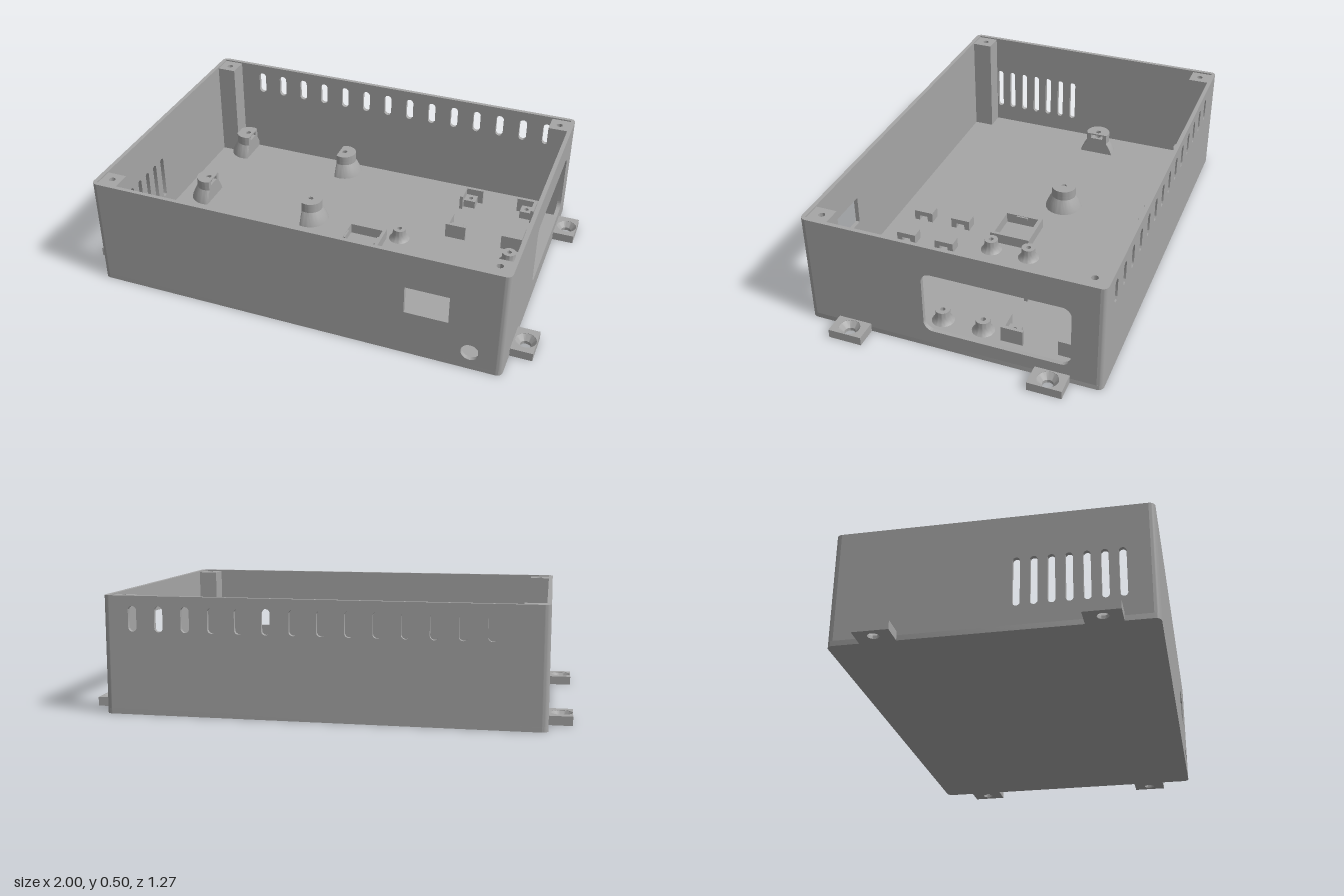
import * as THREE from 'three';
import { toCreasedNormals } from 'three/addons/utils/BufferGeometryUtils.js';

const W = 0.905, D = 0.635, H = 0.495; // half width, half depth, height
const T = 0.018, R = 0.025, FLOOR = 0.022; // wall, corner radius, floor

export function createModel() {
  const model = new THREE.Group();
  const grey = new THREE.MeshStandardMaterial({ color: 0xa6a6a6 });
  grey.name = 'grey plastic';

  const add = (name, geometry, x = 0, y = 0, z = 0, parent = model) => {
    const mesh = new THREE.Mesh(geometry, grey);
    mesh.name = name;
    mesh.position.set(x, y, z);
    parent.add(mesh);
    return mesh;
  };

  // Rounded rectangle outline, as a shape or as a hole
  const rounded = (path, x0, y0, x1, y1, r) => {
    path.moveTo(x0 + r, y0);
    path.lineTo(x1 - r, y0);
    path.absarc(x1 - r, y0 + r, r, -Math.PI / 2, 0);
    path.lineTo(x1, y1 - r);
    path.absarc(x1 - r, y1 - r, r, 0, Math.PI / 2);
    path.lineTo(x0 + r, y1);
    path.absarc(x0 + r, y1 - r, r, Math.PI / 2, Math.PI);
    path.lineTo(x0, y0 + r);
    path.absarc(x0 + r, y0 + r, r, Math.PI, Math.PI * 1.5);
    return path;
  };
  const polygon = (pts) => new THREE.Shape(pts.map(([x, y]) => new THREE.Vector2(x, y)));
  const rect = (x0, y0, x1, y1) => polygon([[x0, y0], [x1, y0], [x1, y1], [x0, y1]]);
  const circle = (x, y, r) => new THREE.Path().absarc(x, y, r, 0, Math.PI * 2);
  const extrude = (shape, depth) => toCreasedNormals(
    new THREE.ExtrudeGeometry(shape, { depth, bevelEnabled: false, curveSegments: 14 }), 0.6);
  // Horizontal slab from a plan drawn in (x, z)
  const slab = (shape, y0, y1) => extrude(shape, y1 - y0).rotateX(Math.PI / 2).translate(0, y1, 0);
  const lathe = (pts, seg = 36) => toCreasedNormals(
    new THREE.LatheGeometry(pts.map(([x, y]) => new THREE.Vector2(x, y)), seg), 0.6);

  // Floor
  add('floor', slab(rounded(new THREE.Shape(), -W, -D, W, D, R), 0, FLOOR));

  // Front wall with a socket window and a cable hole
  const front = rect(-W + R, FLOOR, W - R, H);
  front.holes.push(rect(0.49, 0.21, 0.675, 0.335), circle(0.77, 0.085, 0.038));
  add('frontWall', extrude(front, T), 0, 0, D - T);

  // Back wall with a row of vents
  const back = rect(-W + R, FLOOR, W - R, H);
  for (let i = 0; i < 14; i++) {
    const x = 0.78 - i * 0.1128;
    back.holes.push(rounded(new THREE.Path(), x - 0.018, 0.347, x + 0.018, 0.453, 0.0179));
  }
  add('backWall', extrude(back, T), 0, 0, -D);

  // Side walls, drawn with u = -z
  const windowWall = rect(-D + R, FLOOR, D - R, H);
  windowWall.holes.push(rounded(new THREE.Path(), -0.115, 0.083, 0.503, 0.366, 0.04));
  add('windowWall', extrude(windowWall, T).rotateY(Math.PI / 2), W - T);

  const ventWall = rect(-D + R, FLOOR, D - R, H);
  for (let i = 0; i < 7; i++) {
    const u = -0.1 - i * 0.0675;
    ventWall.holes.push(rounded(new THREE.Path(), u - 0.0145, 0.103, u + 0.0145, 0.31, 0.0144));
  }
  add('ventWall', extrude(ventWall, T).rotateY(Math.PI / 2), -W);

  // Rounded wall corners, screw posts and mounting tabs
  for (const sx of [-1, 1]) for (const sz of [-1, 1]) {
    const pts = [];
    for (let i = 0; i <= 8; i++) {
      const a = (i / 8) * Math.PI / 2;
      pts.push([sx * (W - R + R * Math.cos(a)), sz * (D - R + R * Math.sin(a))]);
    }
    pts.push([sx * (W - R), sz * (D - T)], [sx * (W - T), sz * (D - T)], [sx * (W - T), sz * (D - R)]);
    add('wallCorner', slab(polygon(pts), FLOOR, H));

    const post = rect(sx * 0.8, sz * 0.525, sx * (W - T), sz * (D - T));
    post.holes.push(circle(sx * 0.843, sz * 0.568, 0.014));
    add('cornerPost', slab(post, FLOOR, H - 0.006));

    const tab = rect(sx * W, sz * 0.357, sx, sz * 0.502);
    tab.holes.push(circle(sx * 0.955, sz * 0.43, 0.044));
    add('mountingTab', slab(tab, 0, 0.038));
    add('countersink', lathe([[0.045, 0.038], [0.023, 0.014], [0.023, 0], [0.045, 0]]),
      sx * 0.955, 0, sz * 0.43);
  }

  // Flared standoffs cut flat on one side, with a nut slot in the flat
  const CUT = -0.026, COL = 0.057;
  const dShape = (slotted) => {
    const a = Math.acos(CUT / COL);
    const s = new THREE.Shape();
    s.absarc(0, 0, COL, -a, a);
    if (slotted) {
      s.lineTo(CUT, 0.03);
      s.lineTo(0.026, 0.03);
      s.lineTo(0.026, -0.03);
      s.lineTo(CUT, -0.03);
    } else s.holes.push(circle(0, 0, 0.013));
    return s;
  };
  const flare = new THREE.LatheGeometry(
    [[0.086, FLOOR], [0.082, 0.035], [0.07, 0.062], [COL, 0.085]].map(([x, y]) => new THREE.Vector2(x, y)), 72);
  const fp = flare.attributes.position;
  for (let i = 0; i < fp.count; i++) fp.setX(i, Math.max(fp.getX(i), CUT));
  for (const [x, turn] of [[-0.75, Math.PI], [-0.21, 0]]) for (const z of [-0.545, -0.09]) {
    const standoff = new THREE.Group();
    standoff.name = 'nutStandoff';
    standoff.position.set(x, 0, z);
    standoff.rotation.y = turn;
    add('flaredBase', toCreasedNormals(flare, 0.6), 0, 0, 0, standoff);
    add('column', slab(dShape(false), 0.085, 0.104), 0, 0, 0, standoff);
    add('nutSlot', slab(dShape(true), 0.104, 0.124), 0, 0, 0, standoff);
    add('columnTop', slab(dShape(false), 0.124, 0.131), 0, 0, 0, standoff);
    model.add(standoff);
  }

  // Small round standoffs
  for (const x of [0.24, 0.76]) for (const z of [-0.08, 0.1])
    add('boardStandoff', lathe([[0.048, FLOOR], [0.04, 0.03], [0.034, 0.042], [0.031, 0.055],
      [0.031, 0.078], [0.011, 0.078], [0.011, FLOOR]]), x, 0, z);
  for (const x of [0.685, 0.853])
    add('plainStandoff', lathe([[0.035, FLOOR], [0.035, 0.085], [0.012, 0.085], [0.012, FLOOR]]), x, 0, 0.46);

  // Corner brackets: an L-shaped fence around a low drilled post
  for (const sx of [-1, 1]) for (const sz of [-1, 1]) {
    const at = (pts) => polygon(pts.map(([a, b]) => [0.615 + sx * a, -0.34 + sz * b]));
    add('bracketFence', slab(at([[0.18, 0.17], [0.085, 0.17], [0.085, 0.155], [0.165, 0.155],
      [0.165, 0.075], [0.18, 0.075]]), FLOOR, 0.092));
    const foot = at([[0.165, 0.155], [0.11, 0.155], [0.11, 0.1], [0.165, 0.1]]);
    foot.holes.push(circle(0.615 + sx * 0.137, -0.34 + sz * 0.127, 0.011));
    add('bracketPost', slab(foot, FLOOR, 0.06));
  }

  // Cable tie bridges with a tunnel through them
  const bridge = polygon([[-0.045, 0], [-0.02, 0], [-0.02, 0.025], [0.02, 0.025],
    [0.02, 0], [0.045, 0], [0.045, 0.048], [-0.045, 0.048]]);
  for (const x of [0.09, 0.275]) for (const z of [0.295, 0.482])
    add('cableTieBridge', extrude(bridge, 0.055).rotateY(Math.PI / 2), x, FLOOR, z);

  // Square module holder with two snap clips
  const holder = rect(0, -0.06, 0.185, 0.128);
  holder.holes.push(rect(0.015, -0.042, 0.17, 0.112));
  add('moduleHolder', slab(holder, FLOOR, 0.07));
  for (const x of [0.019, 0.166])
    add('snapClip', new THREE.BoxGeometry(0.008, 0.012, 0.055), x, 0.062, 0.035);

  return model;
}
